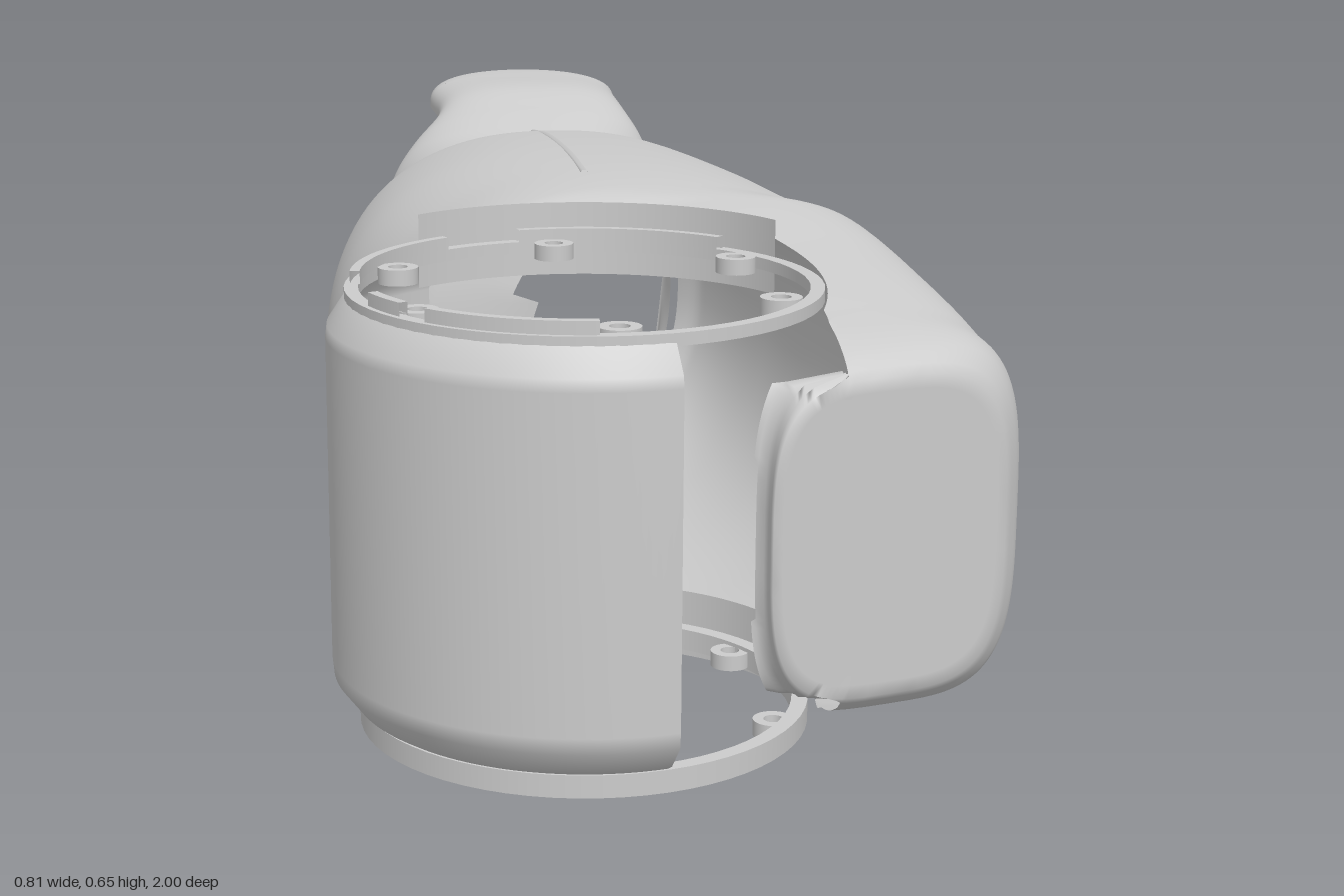
import * as THREE from 'three';

const MID = 0.33;                                   // height of the horizontal symmetry plane
const HUB = { x: -0.1, z: 0.69 };                   // axis of the front ring
const mat = new THREE.MeshStandardMaterial({ color: 0xcccccc, side: THREE.DoubleSide });

// Smooth lookup in a table of [position, value] pairs
function curve(table) {
  const slope = (i) => {
    const a = table[Math.max(i - 1, 0)], b = table[Math.min(i + 1, table.length - 1)];
    return (b[1] - a[1]) / (b[0] - a[0]);
  };
  return (x) => {
    let i = 0;
    while (i < table.length - 2 && x > table[i + 1][0]) i++;
    const [x0, y0] = table[i], [x1, y1] = table[i + 1], h = x1 - x0;
    const t = THREE.MathUtils.clamp((x - x0) / h, 0, 1), s = t * t, c = s * t;
    return (2 * c - 3 * s + 1) * y0 + (c - 2 * s + t) * h * slope(i)
      + (3 * s - 2 * c) * y1 + (c - s) * h * slope(i + 1);
  };
}

const spow = (v, n) => Math.sign(v) * Math.pow(Math.abs(v), 2 / n);
const fade = (v) => THREE.MathUtils.smoothstep(v, 0, 1);

// Surface from a grid of points; cut(p) moves points of a hole to its rim and returns true
function gridSurface(nu, nv, point, closed, cut = () => false) {
  const pos = [], inside = [], index = [], cols = closed ? nu : nu + 1;
  for (let j = 0; j <= nv; j++) for (let i = 0; i < cols; i++) {
    const p = point(i / nu, j / nv);
    inside.push(cut(p));
    pos.push(p.x, p.y, p.z);
  }
  const tri = (a, b, c) => { if (!(inside[a] && inside[b] && inside[c])) index.push(a, b, c); };
  for (let j = 0; j < nv; j++) for (let i = 0; i < nu; i++) {
    const k = (i + 1) % cols, a = j * cols + i, b = j * cols + k;
    tri(a, b, b + cols);
    tri(a, b + cols, a + cols);
  }
  const g = new THREE.BufferGeometry();
  g.setAttribute('position', new THREE.Float32BufferAttribute(pos, 3));
  g.setIndex(index);
  g.computeVertexNormals();
  return g;
}

// Clears a vertical round hole
const roundCut = (cx, cz, r) => (p) => {
  const dx = p.x - cx, dz = p.z - cz, d = Math.hypot(dx, dz);
  if (d >= r) return false;
  p.x = cx + dx * r / (d || 1);
  p.z = cz + dz * r / (d || 1);
  return true;
};

function add(parent, name, geometry, x = 0, y = 0, z = 0) {
  const m = new THREE.Mesh(geometry, mat);
  m.name = name;
  m.position.set(x, y, z);
  parent.add(m);
  return m;
}

const lathe = (pts, seg, start = 0, len = Math.PI * 2) =>
  new THREE.LatheGeometry(pts.map((p) => new THREE.Vector2(...p)), seg, start, len);

// Flat ring or arc; each side is its own strip so the edges stay sharp
function addRing(parent, name, r0, r1, y0, y1, start, len) {
  const c = [[r0, y0], [r1, y0], [r1, y1], [r0, y1]];
  c.forEach((p, i) => add(parent, name, lathe([p, c[(i + 1) % 4]], 64, start, len)));
}

// Body outline by z
const bodyLeft = curve([[-0.51, -0.25], [-0.46, -0.28], [-0.3, -0.33], [0, -0.368], [0.2, -0.345],
  [0.36, -0.3], [0.39, -0.23], [0.43, -0.1], [0.8, -0.08], [0.9, 0.06], [0.94, 0.07]]);
const bodyRight = curve([[-0.51, 0.255], [-0.46, 0.285], [-0.2, 0.335], [0, 0.36], [0.2, 0.383],
  [0.4, 0.395], [0.86, 0.403], [0.91, 0.39], [0.94, 0.365]]);
const bodyHalf = curve([[-0.51, 0.243], [-0.35, 0.285], [-0.2, 0.308], [0.1, 0.325], [0.35, 0.318],
  [0.6, 0.275], [0.84, 0.235], [0.91, 0.215], [0.94, 0.19]]);

function bodyPoint(u, v) {
  const t = u * Math.PI * 2, s = Math.min(v / 0.92, 1);
  const z0 = -0.51 + 1.45 * s, shrink = v > 0.92 ? (1 - v) / 0.08 : 1;
  const l = bodyLeft(z0), r = bodyRight(z0), n = 2.35 + 1.2 * fade((z0 - 0.2) / 0.6);
  const cx = (l + r) / 2;
  const x = cx + (r - l) / 2 * shrink * spow(Math.cos(t), n);
  const y = MID + bodyHalf(z0) * shrink * spow(Math.sin(t), n);
  const z = z0 + 0.08 * Math.sin(t) ** 2 * fade((-0.2 - z0) / 0.31)
    + 0.24 * (0.2 - x) * fade((z0 - 0.65) / 0.25);
  return new THREE.Vector3(x, y, z);
}

// Fork arm outline by z (negated so the tables ascend)
const armTop = curve([[0.43, 0.57], [0.5, 0.588], [0.6, 0.618], [0.7, 0.642], [0.84, 0.645]]);
const armEdge = curve([[0.43, MID], [0.5, MID], [0.54, 0.45], [0.6, 0.53], [0.68, 0.575], [0.84, 0.59]]);
const armHalf = curve([[0.43, 0.25], [0.5, 0.245], [0.58, 0.205], [0.66, 0.168], [0.74, 0.158], [0.84, 0.163]]);
const armMid = curve([[0.43, 0], [0.5, 0], [0.66, 0.03], [0.84, 0.037]]);
const armBend = curve([[0.43, 0.12], [0.5, 0.09], [0.6, 0.025], [0.7, 0], [0.84, 0]]);

function armPoint(u, v) {
  const t = u * Math.PI, d = 0.43 + 0.41 * v, n = 2.5 + 0.5 * v;
  const y = armEdge(d) + (armTop(d) - armEdge(d)) * spow(Math.sin(t), n);
  return new THREE.Vector3(armMid(d) + armHalf(d) * spow(Math.cos(t), n), y,
    -d - armBend(d) * Math.cos(t) ** 2);
}

function forkArm(name, holeRadius) {
  const g = new THREE.Group();
  g.name = name;
  const cut = holeRadius ? roundCut(0.037, -0.84, holeRadius) : undefined;
  add(g, name + 'Sheet', gridSurface(64, 64, armPoint, false, cut));
  // rounded end with the same rim profile
  const pts = [];
  for (let i = 0; i <= 20; i++) {
    const t = i / 20 * Math.PI / 2, r = 0.163 * spow(Math.cos(t), 3);
    if (r < holeRadius) break;
    pts.push([r, 0.59 + 0.055 * spow(Math.sin(t), 3)]);
  }
  if (holeRadius) pts.push([holeRadius, 0.637]);
  add(g, name + 'End', lathe(pts, 40, Math.PI / 2, Math.PI), 0.037, 0, -0.84);
  return g;
}

export function createModel() {
  const model = new THREE.Group();
  model.name = 'armShell';

  // Hollow body, cleared around the ring and beside the front flap
  const hubCut = roundCut(HUB.x, HUB.z, 0.29);
  add(model, 'bodyShell', gridSurface(120, 150, bodyPoint, true, (p) => {
    let hit = hubCut(p);
    if (p.z > 0.72 && p.x < 0.16 && Math.abs(p.y - MID) > 0.187) { p.x = 0.16; hit = true; }
    return hit;
  }));

  // Raised seam along the top of the body
  const seam = [-0.3, -0.15, 0, 0.15, 0.27].map((z, i) =>
    new THREE.Vector3(-0.02 - 0.003 * i, MID + bodyHalf(z) - 0.004, z));
  add(model, 'topSeam', new THREE.TubeGeometry(new THREE.CatmullRomCurve3(seam), 30, 0.006, 6));

  // Ring housing
  const ring = new THREE.Group();
  ring.name = 'ringHousing';
  ring.position.set(HUB.x, 0, HUB.z);
  model.add(ring);
  const wall = [[0.272, 0.587], [0.285, 0.58], [0.308, 0.545], [0.31, 0.53], [0.31, 0.13],
    [0.308, 0.11], [0.285, 0.08], [0.272, 0.072]];
  add(ring, 'ringWall', lathe(wall, 72, -2.6, 2.8));
  // lips joining the body to the ring
  for (const [y0, y1] of [[0.54, 0.635], [0.025, 0.115]])
    add(ring, 'bodyLip', lathe([[0.288, y0], [0.288, y1]], 40, 2.0, 1.8));
  addRing(ring, 'topRing', 0.27, 0.287, 0.573, 0.588, 0, Math.PI * 2);
  addRing(ring, 'bottomRing', 0.257, 0.277, 0.045, 0.073, 0, Math.PI * 2);
  for (const [start, len] of [[-0.85, 0.75], [-1.25, 0.25], [-2.6, 0.9], [2.3, 1.0]])
    addRing(ring, 'raisedArc', 0.268, 0.28, 0.588, 0.604, start, len);
  // screw eyelets
  for (let i = 0; i < 6; i++) {
    const a = i * Math.PI / 3;
    for (const y of [0.58, 0.058]) {
      const eye = new THREE.Group();
      eye.name = 'screwEyelet';
      eye.position.set(0.245 * Math.sin(a), y, 0.245 * Math.cos(a));
      addRing(eye, 'eyelet', 0.012, 0.025, -0.01, 0.01, 0, Math.PI * 2);
      ring.add(eye);
    }
  }

  // Rear fork: closed upper pad, lower pad with a hole
  const upper = forkArm('upperFork', 0);
  const lower = forkArm('lowerFork', 0.12);
  lower.scale.y = -1;
  lower.position.y = 2 * MID;
  model.add(upper, lower);

  return model;
}
